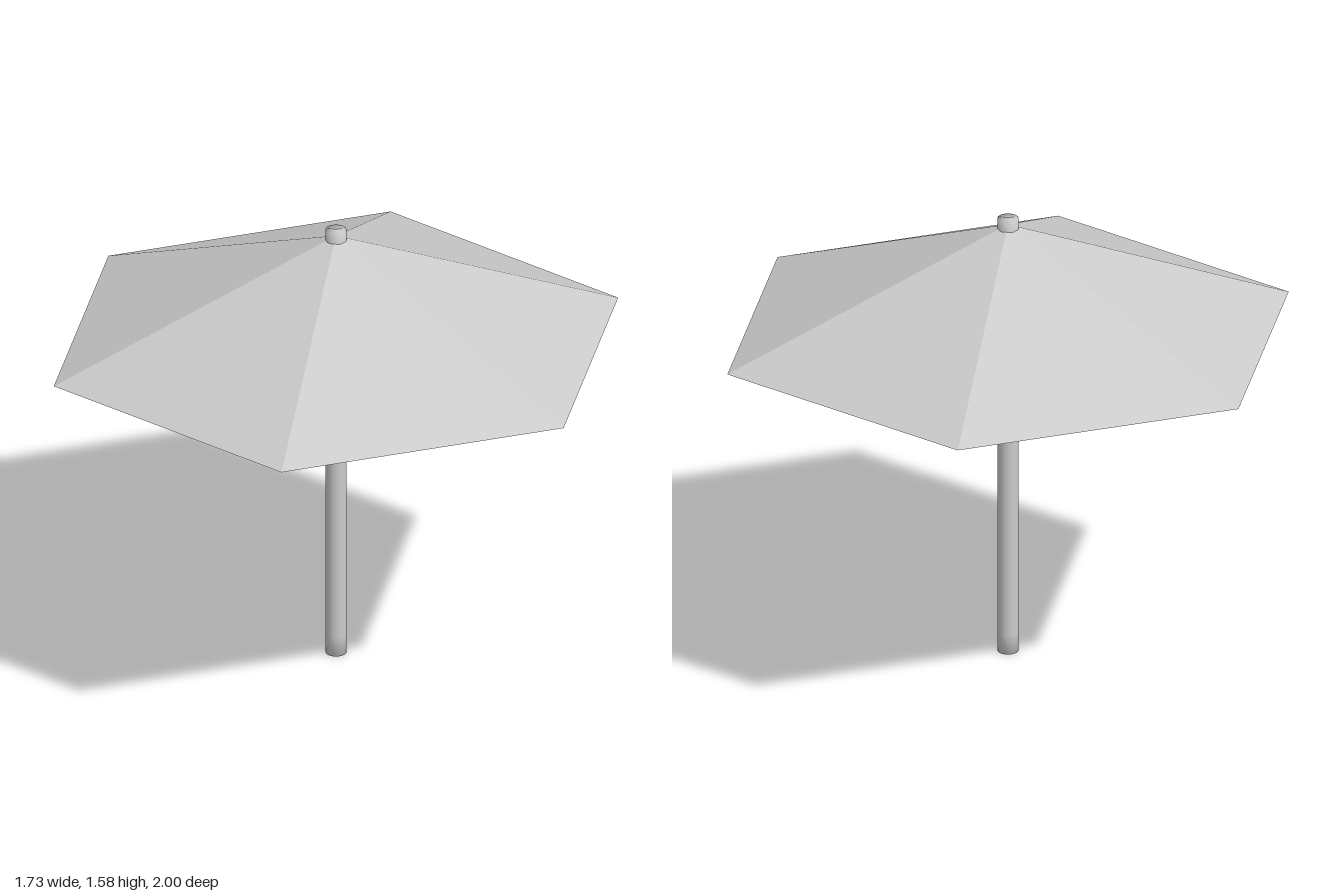
import * as THREE from 'three';

const material = (options = {}) =>
  new THREE.MeshStandardMaterial({ color: 0xcccccc, ...options });

export function createModel() {
  const model = new THREE.Group();
  model.name = 'parasol';

  // Round pole with softly shaded ends; extra rings keep the shading near the tips
  const radius = 0.035;
  const height = 1.575;
  const profile = [
    [0, 0], [radius, 0], [radius, 0.07],
    [radius, height - 0.07], [radius, height], [0, height],
  ].map(([x, y]) => new THREE.Vector2(x, y));
  const pole = new THREE.Mesh(new THREE.LatheGeometry(profile, 24), material());
  pole.name = 'pole';
  model.add(pole);

  // Six-sided canopy: an open, thin cone with corners on the front and back
  const rim = 1.155;
  const rise = 0.396;
  const canopy = new THREE.Mesh(
    new THREE.ConeGeometry(1, rise, 6, 1, true),
    material({ flatShading: true, side: THREE.DoubleSide }),
  );
  canopy.name = 'canopy';
  canopy.position.y = rim + rise / 2;
  model.add(canopy);

  return model;
}
